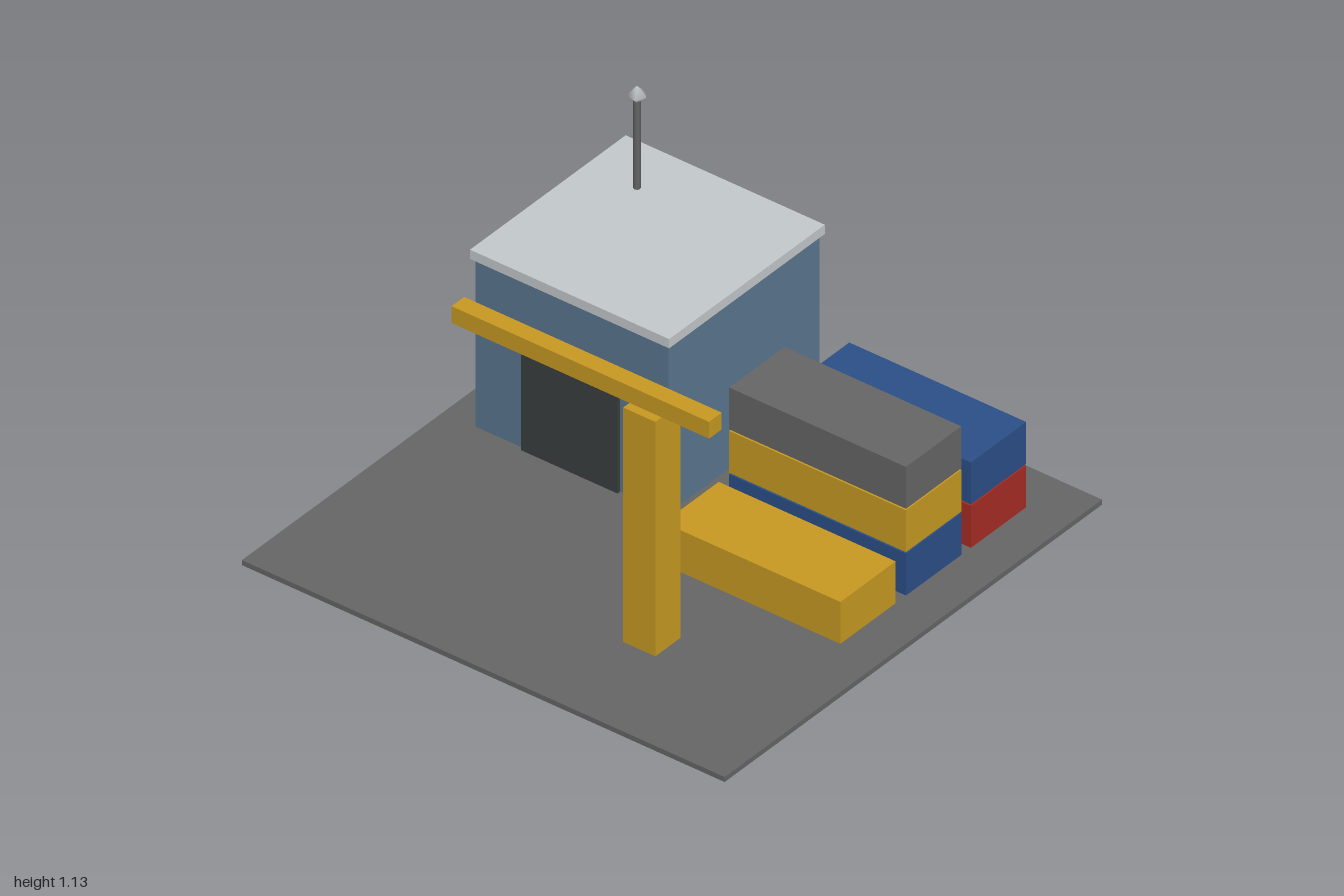
import * as THREE from 'three';

export function createModel() {
  const model = new THREE.Group();
  model.name = 'containerYard';

  const paint = (name, color) => {
    const m = new THREE.MeshStandardMaterial({ color });
    m.name = name;
    return m;
  };
  const grey = paint('grey', 0x666666);
  const wall = paint('wallBlue', 0x5b7690);
  const pale = paint('paleGrey', 0xc4c9cc);
  const dark = paint('doorDark', 0x3a3f3f);
  const yellow = paint('yellow', 0xc89a22);
  const blue = paint('blue', 0x2b4f87);
  const red = paint('red', 0xa62c23);

  const add = (parent, name, geometry, material, x, y, z) => {
    const mesh = new THREE.Mesh(geometry, material);
    mesh.name = name;
    mesh.position.set(x, y, z);
    parent.add(mesh);
    return mesh;
  };
  // Box given by its size and the centre of its underside
  const box = (parent, name, material, [w, h, d], [x, y, z]) =>
    add(parent, name, new THREE.BoxGeometry(w, h, d), material, x, y + h / 2, z);
  const group = (name) => {
    const g = new THREE.Group();
    g.name = name;
    model.add(g);
    return g;
  };

  // Ground slab
  const floor = 0.02;
  box(model, 'ground', grey, [2, floor, 2], [0, 0, 0]);

  // Office with roof, door and antenna
  const office = group('office');
  box(office, 'walls', wall, [0.8, 0.67, 0.8], [-0.467, floor, -0.467]);
  box(office, 'roof', pale, [0.825, 0.037, 0.825], [-0.467, 0.69, -0.467]);
  box(office, 'door', dark, [0.4, 0.48, 0.02], [-0.467, floor, -0.063]);
  add(office, 'mast', new THREE.CylinderGeometry(0.0133, 0.0133, 0.37, 6), grey, -0.667, 0.912, -0.667);
  const tip = add(office, 'mastTip', new THREE.SphereGeometry(0.035, 5, 2), pale, -0.667, 1.098, -0.667);
  tip.rotation.y = -0.45;

  // Container stacks, listed from the ground up
  const containers = group('containers');
  const stacks = [
    { z: -0.667, colours: [red, blue] },
    { z: -0.323, colours: [blue, yellow, grey] },
    { z: 0.025, colours: [yellow] },
  ];
  for (const { z, colours } of stacks) {
    colours.forEach((material, level) =>
      box(containers, 'container', material, [0.733, 0.167, 0.293], [0.465, floor + level * 0.173, z]));
  }

  // Crane
  const crane = group('crane');
  box(crane, 'craneTower', yellow, [0.133, 0.935, 0.133], [0.333, floor, 0.533]);
  box(crane, 'craneBeam', yellow, [1.067, 0.067, 0.067], [0.063, 0.955, 0.533]);

  return model;
}
